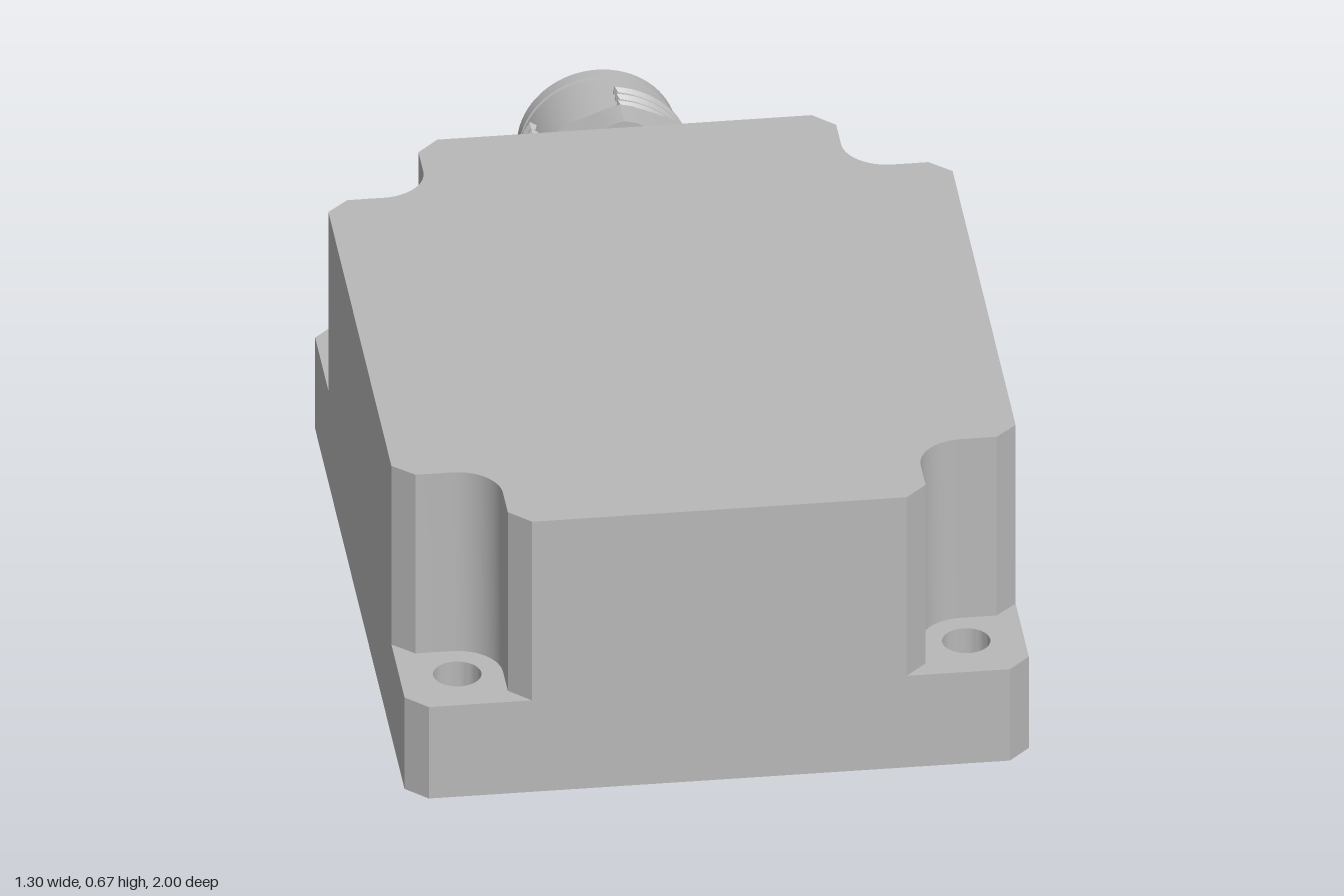
import * as THREE from 'three';
import { toCreasedNormals } from 'three/addons/utils/BufferGeometryUtils.js';

const grey = new THREE.MeshStandardMaterial({ color: 0xb8b8b8 });
grey.name = 'housing grey';

const HALF_X = 0.65, HALF_Z = 0.775, BASE_H = 0.22, HEIGHT = 0.65;

function part(name, geometry, crease = 0.5) {
  const mesh = new THREE.Mesh(toCreasedNormals(geometry, crease), grey);
  mesh.name = name;
  return mesh;
}

// Mirrors the corner outline of one quadrant into a full closed outline
function fourCorners(corner) {
  const out = [];
  for (const [sx, sy] of [[1, 1], [-1, 1], [-1, -1], [1, -1]]) {
    const pts = corner.map(([x, y]) => new THREE.Vector2(x * sx, y * sy));
    out.push(...(sx * sy > 0 ? pts : pts.reverse()));
  }
  return new THREE.Shape(out);
}

// Extrudes a plan outline upward
function upright(shape, y0, y1) {
  return new THREE.ExtrudeGeometry(shape, { depth: y1 - y0, bevelEnabled: false, curveSegments: 20 })
    .rotateX(-Math.PI / 2).translate(0, y0, 0);
}

function addHole(shape, x, y, r) {
  shape.holes.push(new THREE.Path().absarc(x, y, r, 0, Math.PI * 2, true));
}

// Turned part whose axis points to the back; points are [radius, distance back]
function turned(points, segments = 72) {
  return new THREE.LatheGeometry(points.map(([r, d]) => new THREE.Vector2(r, d)), segments);
}

// Arc-shaped rib around the connector axis, angles in degrees
function rib(from, to, r0, r1, z, depth, bevel) {
  const a = THREE.MathUtils.degToRad(from), b = THREE.MathUtils.degToRad(to);
  const shape = new THREE.Shape();
  shape.absarc(0, 0, r1, a, b, false);
  shape.absarc(0, 0, r0, b, a, true);
  return new THREE.ExtrudeGeometry(shape, {
    depth, curveSegments: 14, bevelEnabled: bevel > 0,
    bevelSize: bevel, bevelThickness: bevel, bevelSegments: 1,
  }).translate(0, 0, z);
}

function makeHousing() {
  const housing = new THREE.Group();
  housing.name = 'housing';
  housing.position.z = 0.225;

  // Base plate with screw holes and two round pockets underneath
  const base = fourCorners([[HALF_X, HALF_Z - 0.045], [HALF_X - 0.045, HALF_Z]]);
  for (const sx of [-1, 1]) {
    for (const sy of [-1, 1]) addHole(base, 0.53 * sx, 0.65 * sy, 0.05);
    addHole(base, 0.5 * sx, 0, 0.09);
  }
  housing.add(part('basePlate', upright(base, 0, BASE_H)));

  // Upper block with a rounded pocket at each corner
  const corner = [[HALF_X, 0.515], [0.605, 0.557]];
  for (let i = 0; i <= 12; i++) {
    const a = -Math.PI / 2 - (i / 12) * Math.PI / 2;
    corner.push([0.53 + 0.095 * Math.cos(a), 0.652 + 0.095 * Math.sin(a)]);
  }
  corner.push([0.435, 0.73], [0.39, HALF_Z]);
  housing.add(part('upperBlock', upright(fourCorners(corner), BASE_H, HEIGHT)));
  return housing;
}

function makeConnector() {
  const connector = new THREE.Group();
  connector.name = 'connector';
  connector.position.y = 0.355;

  // Hexagonal nut: a turned disc trimmed to six flats
  const nut = turned([[0, 0.55], [0.31, 0.55], [0.31, 0.618], [0.3, 0.624], [0.29, 0.63],
    [0.28, 0.636], [0.272, 0.64], [0, 0.64]]);
  const p = nut.attributes.position;
  for (let i = 0; i < p.count; i++) {
    const x = p.getX(i), z = p.getZ(i), r = Math.hypot(x, z);
    if (r < 0.01) continue;
    const phi = (Math.atan2(x, z) + Math.PI * 2) % (Math.PI / 3) - Math.PI / 6;
    const k = Math.min(1, 0.276 / Math.cos(phi) / r);
    p.setX(i, x * k);
    p.setZ(i, z * k);
  }
  connector.add(part('hexNut', nut.rotateX(-Math.PI / 2), 0.3));

  // Collar, barrel with end groove, and hollow socket
  const shell = turned([[0.21, 0.63], [0.21, 0.658], [0.2, 0.664], [0.18, 0.664], [0.167, 0.68],
    [0.167, 0.962], [0.16, 0.964], [0.16, 0.97], [0.167, 0.972], [0.167, 1], [0.138, 1],
    [0.132, 0.985], [0.132, 0.74], [0, 0.74]]);
  connector.add(part('connectorShell', shell.rotateX(-Math.PI / 2)));
  connector.add(part('collarTab', rib(86, 110, 0.16, 0.205, -0.677, 0.03, 0)));

  // Interrupted thread ribs
  for (const [from, to, z] of [[20, 80, -0.905], [-53, -11, -0.91], [148, 200, -0.915]]) {
    for (let i = 0; i < 6; i++) {
      connector.add(part('threadRib', rib(from, to, 0.155, 0.176, z + i * 0.028, 0.004, 0.008), 0.4));
    }
  }

  // Contact pins: one in the middle and four around it
  const pin = turned([[0.016, 0.73], [0.016, 0.92], [0.012, 0.93], [0, 0.934]], 16).rotateX(-Math.PI / 2);
  for (let i = 0; i < 5; i++) {
    const mesh = part('contactPin', pin);
    const a = Math.PI / 4 + i * Math.PI / 2;
    if (i < 4) mesh.position.set(0.07 * Math.cos(a), 0.07 * Math.sin(a), 0);
    connector.add(mesh);
  }
  return connector;
}

export function createModel() {
  const model = new THREE.Group();
  model.name = 'sensor';
  model.add(makeHousing(), makeConnector());
  return model;
}
